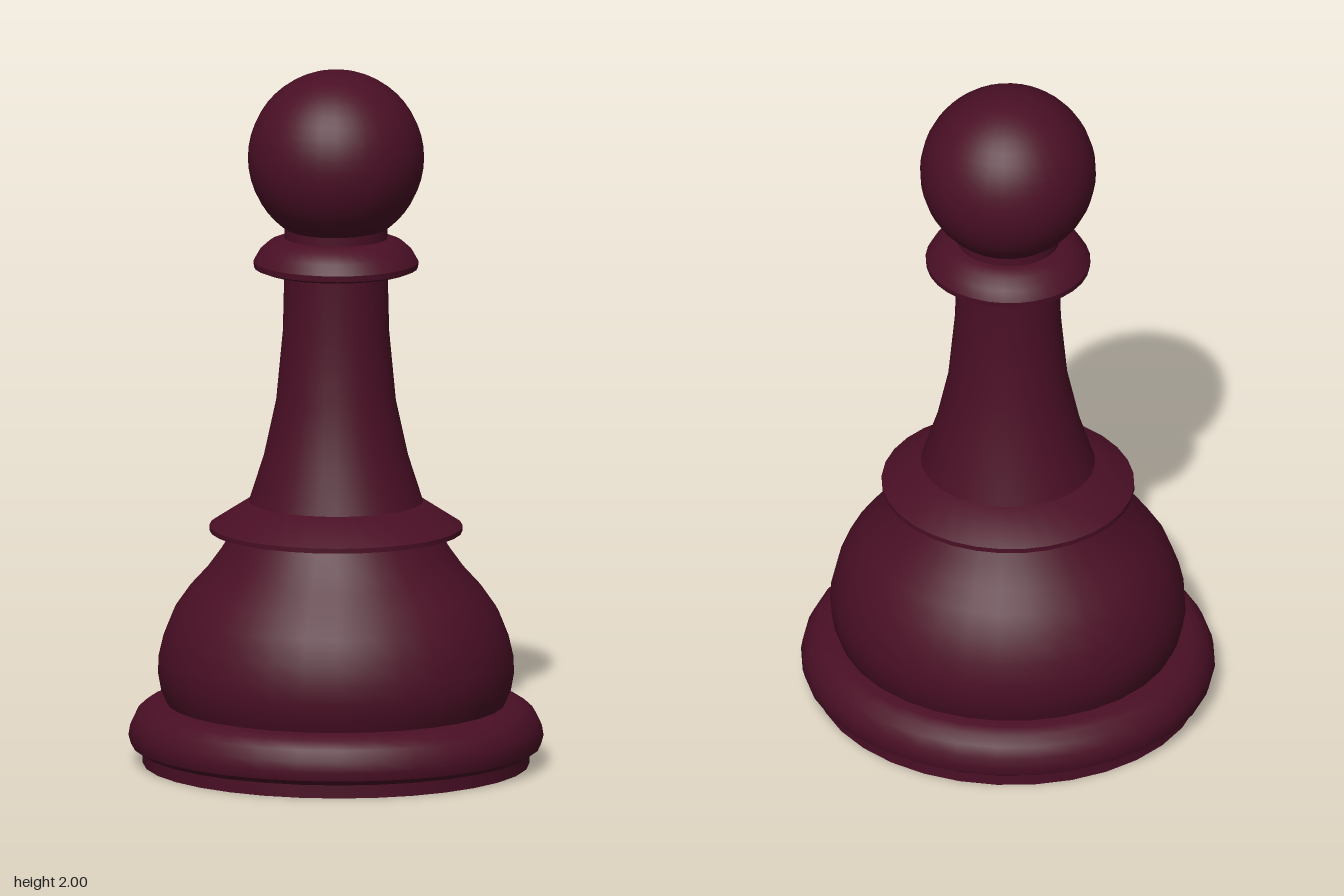
import * as THREE from 'three';
import { toCreasedNormals } from 'three/addons/utils/BufferGeometryUtils.js';

export function createModel() {
  const group = new THREE.Group();
  group.name = 'pawn';
  const material = new THREE.MeshStandardMaterial({ color: 0x4a0f25 });

  // Turned section from [radius, height] pairs, bottom to top; slightly narrower in depth
  function turned(name, profile) {
    const points = profile.map(([r, y]) => new THREE.Vector2(r, y));
    const geometry = new THREE.LatheGeometry(points, 32);
    geometry.scale(1, 1, 0.957);
    const mesh = new THREE.Mesh(toCreasedNormals(geometry, 0.6), material);
    mesh.name = name;
    group.add(mesh);
  }

  // Flat foot and the rounded ring above it
  turned('foot', [[0, 0], [0.55, 0], [0.55, 0.045]]);
  turned('baseRing', [
    [0.54, 0.04], [0.562, 0.04], [0.583, 0.055], [0.59, 0.08], [0.585, 0.11],
    [0.57, 0.142], [0.545, 0.165], [0.515, 0.175], [0.47, 0.177],
  ]);

  // Bulging belly
  turned('belly', [
    [0.48, 0.17], [0.497, 0.21], [0.506, 0.26], [0.504, 0.31], [0.49, 0.37],
    [0.462, 0.44], [0.42, 0.5], [0.37, 0.555], [0.33, 0.61], [0.29, 0.675],
  ]);

  // Sloped skirt between belly and stem
  turned('skirt', [[0.27, 0.672], [0.36, 0.672], [0.36, 0.686], [0.25, 0.757], [0.23, 0.757]]);

  // Tapering stem, reaching up under the head
  turned('stem', [
    [0.25, 0.75], [0.205, 0.89], [0.17, 1.05], [0.151, 1.25], [0.147, 1.42], [0.147, 1.56],
  ]);

  // Collar below the head
  turned('collar', [
    [0.14, 1.425], [0.212, 1.425], [0.233, 1.433], [0.235, 1.45],
    [0.218, 1.48], [0.19, 1.505], [0.16, 1.517], [0.14, 1.52],
  ]);

  // Ball head
  const head = new THREE.Mesh(new THREE.SphereGeometry(0.25, 32, 24), material);
  head.name = 'head';
  head.position.y = 1.75;
  group.add(head);

  return group;
}
